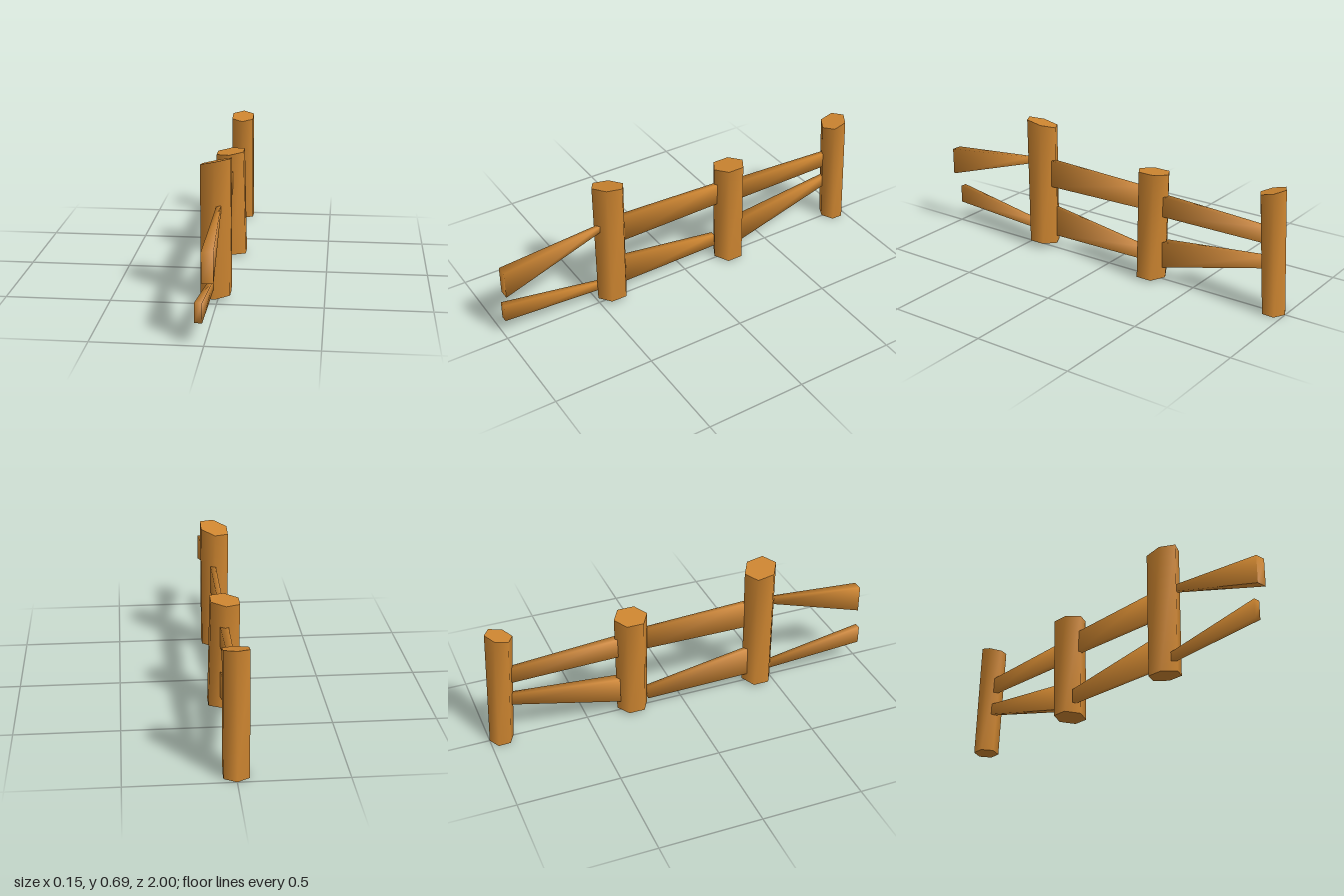
import * as THREE from 'three';
import { toCreasedNormals } from 'three/addons/utils/BufferGeometryUtils.js';

const wood = new THREE.MeshStandardMaterial({ color: 0xcd8530 });
wood.name = 'warm wood';

// Six-sided post between two centres, each end cut along its own slanted plane.
// An end is { x, y, z, rx, rz, sx, sz }: centre, half widths, slope of the cut along x and z.
function post(name, bottom, top) {
  const geometry = new THREE.CylinderGeometry(1, 1, 1, 6);
  const p = geometry.attributes.position;
  for (let i = 0; i < p.count; i++) {
    const end = p.getY(i) > 0 ? top : bottom;
    const dx = p.getX(i) / Math.sin(Math.PI / 3) * end.rx;
    const dz = p.getZ(i) * end.rz;
    p.setXYZ(i, end.x + dx, end.y + dx * end.sx + dz * end.sz, end.z + dz);
  }
  const mesh = new THREE.Mesh(toCreasedNormals(geometry, 1.2), wood);
  mesh.name = name;
  return mesh;
}

// Tapered plank between two rectangles [z, x0, x1, y0, y1], front end first.
function rail(name, front, back) {
  const geometry = new THREE.BoxGeometry(1, 1, 1);
  const p = geometry.attributes.position;
  for (let i = 0; i < p.count; i++) {
    const [z, x0, x1, y0, y1] = p.getZ(i) > 0 ? front : back;
    p.setXYZ(i, p.getX(i) > 0 ? x1 : x0, p.getY(i) > 0 ? y1 : y0, z);
  }
  const mesh = new THREE.Mesh(toCreasedNormals(geometry, 1.8), wood);
  mesh.name = name;
  return mesh;
}

export function createModel() {
  const fence = new THREE.Group();
  fence.name = 'fence';

  // Posts, front to back
  fence.add(
    post('frontPost',
      { x: -0.009, y: 0.022, z: 0.42, rx: 0.069, rz: 0.08, sx: 0.12, sz: 0 },
      { x: -0.008, y: 0.667, z: 0.422, rx: 0.069, rz: 0.084, sx: 0.22, sz: 0.18 }),
    post('middlePost',
      { x: 0.003, y: 0.014, z: -0.26, rx: 0.072, rz: 0.08, sx: -0.05, sz: 0 },
      { x: -0.007, y: 0.546, z: -0.26, rx: 0.069, rz: 0.085, sx: 0.12, sz: 0 }),
    post('backPost',
      { x: 0, y: 0.002, z: -0.94, rx: 0.058, rz: 0.06, sx: 0, sz: 0.03 },
      { x: 0, y: 0.593, z: -0.906, rx: 0.058, rz: 0.066, sx: 0, sz: -0.27 })
  );

  // Rails, front to back
  fence.add(
    rail('frontUpperRail', [1, -0.01, 0.043, 0.283, 0.422], [0.485, 0, 0.02, 0.44, 0.474]),
    rail('frontLowerRail', [0.998, -0.04, -0.006, 0.104, 0.196], [0.48, -0.036, -0.014, 0.068, 0.112]),
    rail('middleUpperRail', [0.35, -0.012, 0.016, 0.34, 0.48], [-0.19, -0.014, 0.01, 0.346, 0.46]),
    rail('middleLowerRail', [0.36, -0.036, -0.01, 0.063, 0.218], [-0.19, -0.045, -0.02, 0.063, 0.132]),
    rail('backUpperRail', [-0.33, -0.02, 0.02, 0.336, 0.437], [-0.87, -0.023, 0.002, 0.329, 0.41]),
    rail('backLowerRail', [-0.33, -0.027, 0.02, 0.07, 0.203], [-0.89, -0.025, 0, 0.207, 0.265])
  );
  return fence;
}
